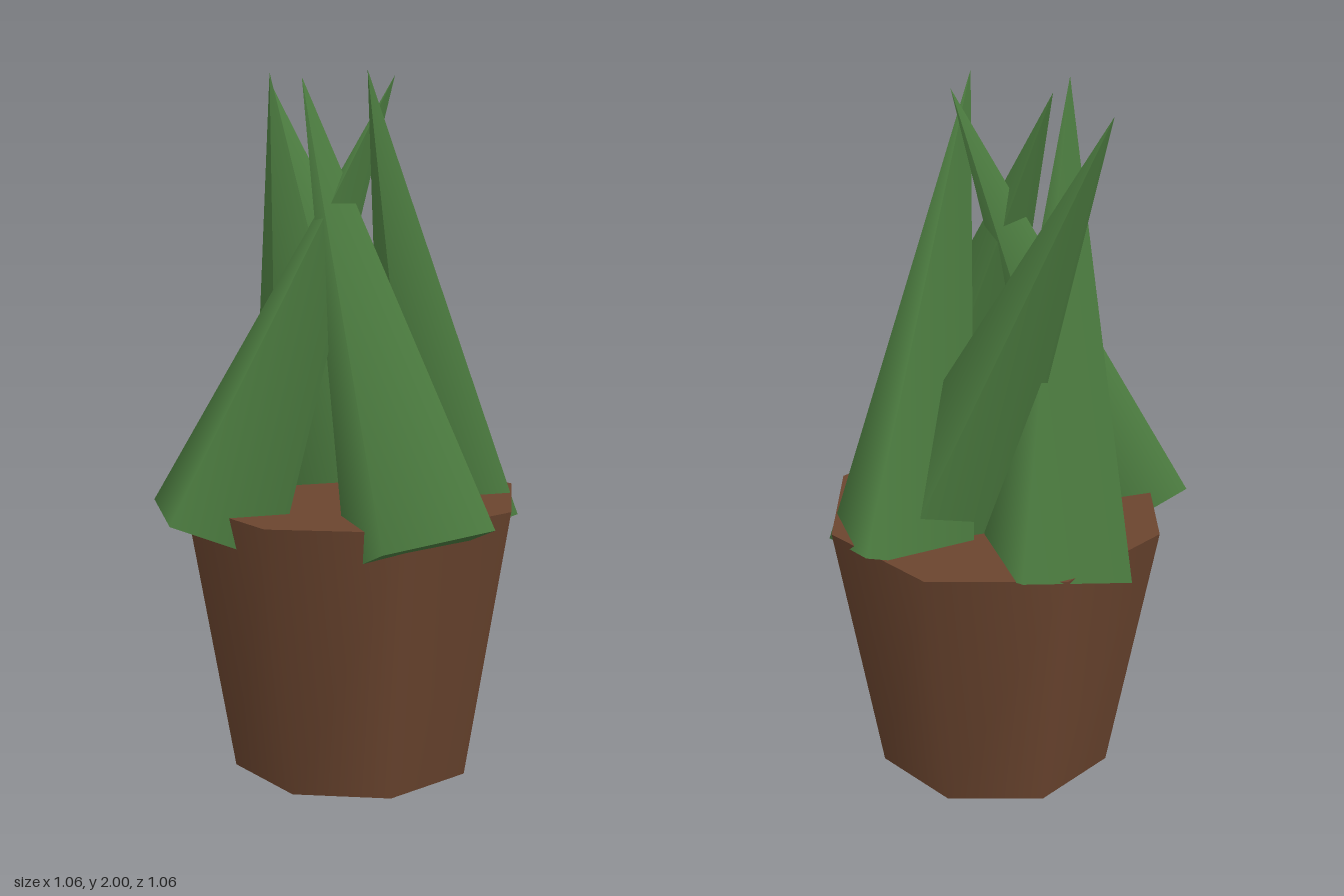
import * as THREE from 'three';

export function createModel() {
  const plant = new THREE.Group();
  plant.name = 'pottedPlant';

  const terracotta = new THREE.MeshStandardMaterial({ color: 0x6b452f });
  terracotta.name = 'brown clay';
  const green = new THREE.MeshStandardMaterial({ color: 0x4c7c40 });
  green.name = 'leaf green';

  // Eight-sided tapered pot, closed at both ends
  const pot = new THREE.Mesh(new THREE.CylinderGeometry(0.5, 0.365, 0.8, 8), terracotta);
  pot.name = 'pot';
  pot.position.set(-0.03, 0.4, -0.03);
  plant.add(pot);

  // Four-sided spike from a base centre to a tip; corner = horizontal direction of one base corner
  function addLeaf(name, base, tip, corner) {
    const from = new THREE.Vector3(...base);
    const to = new THREE.Vector3(...tip);
    const up = to.clone().sub(from);
    const length = up.length();
    up.normalize();
    // lift the corner direction into the plane across the axis
    const z = new THREE.Vector3(corner[0], 0, corner[1]);
    z.y = -(z.x * up.x + z.z * up.z) / up.y;
    z.normalize();
    const x = new THREE.Vector3().crossVectors(up, z);

    const leaf = new THREE.Mesh(new THREE.ConeGeometry(0.228, length, 4), green);
    leaf.name = name;
    leaf.quaternion.setFromRotationMatrix(new THREE.Matrix4().makeBasis(x, up, z));
    leaf.position.copy(from).add(to).multiplyScalar(0.5);
    plant.add(leaf);
  }

  addLeaf('frontLeftLeaf', [0.316, 0.73, 0.24], [-0.17, 2, 0.02], [0.214, -0.02]);
  addLeaf('frontRightLeaf', [-0.3, 0.73, 0.305], [0.1, 2, -0.03], [-0.23, -0.015]);
  addLeaf('backLeftLeaf', [0.155, 0.73, -0.29], [0.155, 2, 0.235], [0, -1]);
  addLeaf('backRightLeaf', [-0.294, 0.73, -0.254], [-0.135, 2, 0.25], [0.009, -0.216]);
  addLeaf('crossingLeaf', [0.115, 0.73, -0.145], [-0.41, 2, -0.2], [0.215, 0.012]);

  return plant;
}
